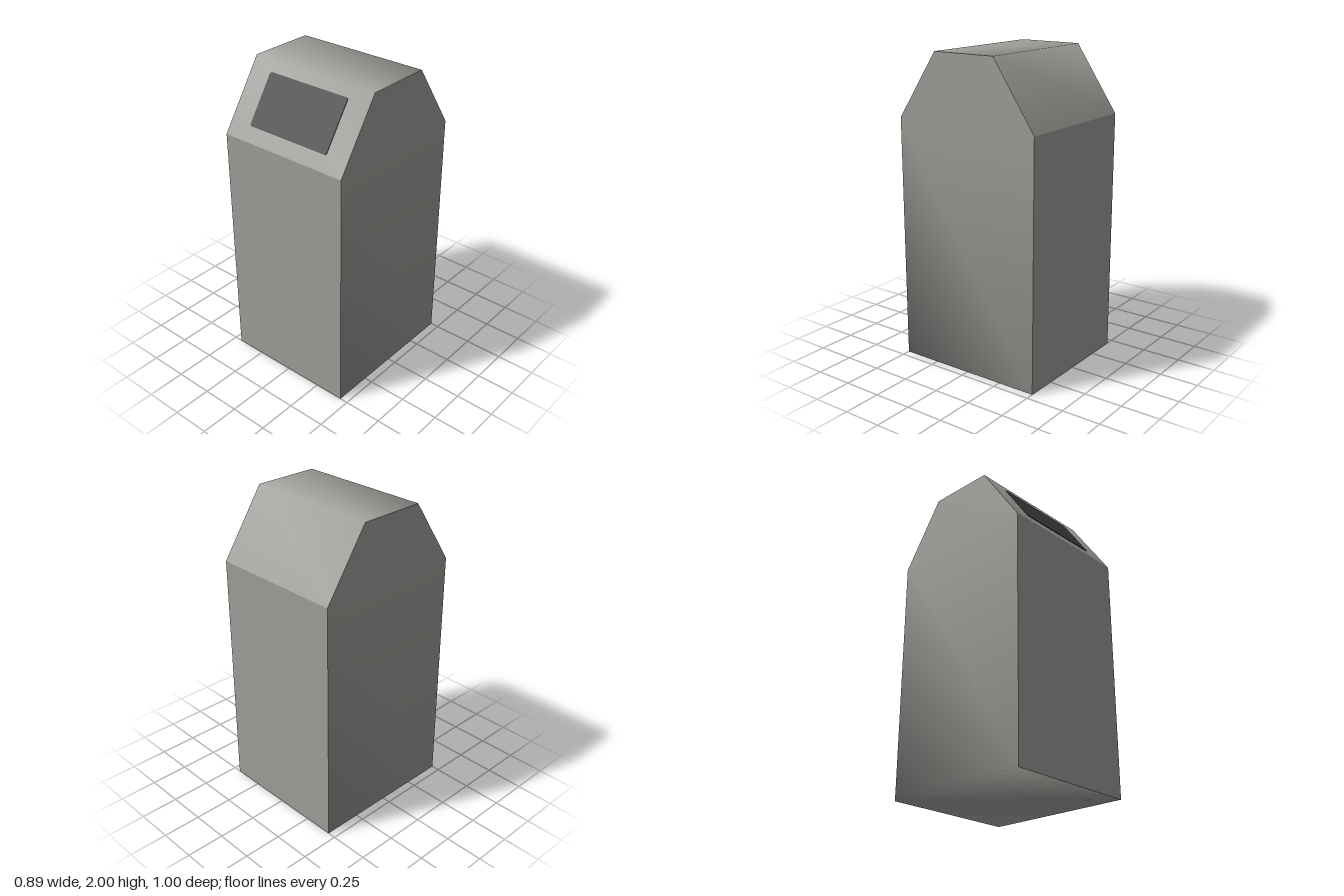
import * as THREE from 'three';
import { mergeGeometries } from 'three/addons/utils/BufferGeometryUtils.js';

const HALF_WIDTH = 0.447, HALF_DEPTH = 0.5, EAVE = 1.58, TOP = 2, HALF_RIDGE = 0.215;

// Softly shaded wall following an open counter-clockwise profile, with flat end caps.
// The profile lies in x, y and must be symmetric about x = 0.
function softPrism(profile, halfLength) {
  const positions = [], indices = [];
  profile.forEach(([x, y], i) => {
    positions.push(x, y, -halfLength, x, y, halfLength);
    if (i === 0) return;
    const a = 2 * i - 2, b = 2 * i;
    indices.push(a, b, b + 1, a, b + 1, a + 1);
  });
  const wall = new THREE.BufferGeometry();
  wall.setAttribute('position', new THREE.Float32BufferAttribute(positions, 3));
  wall.setIndex(indices);
  wall.computeVertexNormals();

  const shape = new THREE.Shape(profile.map(([x, y]) => new THREE.Vector2(x, y)));
  const caps = [0, Math.PI].map((turn) => {
    const cap = new THREE.ShapeGeometry(shape);
    cap.deleteAttribute('uv');
    return cap.translate(0, 0, halfLength).rotateY(turn);
  });
  return mergeGeometries([wall, ...caps]);
}

// Rectangle with slightly clipped corners
function clippedRectangle(w, h, c) {
  return new THREE.Shape([
    [w - c, -h], [w, c - h], [w, h - c], [w - c, h],
    [c - w, h], [-w, h - c], [-w, c - h], [c - w, -h],
  ].map(([x, y]) => new THREE.Vector2(x, y)));
}

export function createModel() {
  const model = new THREE.Group();
  model.name = 'litterBin';

  const casing = new THREE.MeshStandardMaterial({ color: 0xa09e9a });
  casing.name = 'warm grey casing';
  const dark = new THREE.MeshStandardMaterial({ color: 0x404040 });
  dark.name = 'dark grey opening';

  const add = (name, geometry, material) => {
    const mesh = new THREE.Mesh(geometry, material);
    mesh.name = name;
    model.add(mesh);
    return mesh;
  };

  // Upright body: sides and base, with flat front and back
  add('body', softPrism([
    [-HALF_WIDTH, EAVE], [-HALF_WIDTH, 0], [HALF_WIDTH, 0], [HALF_WIDTH, EAVE],
  ], HALF_DEPTH), casing);

  // Hood: sloped front and back around a narrow flat top
  add('hood', softPrism([
    [HALF_DEPTH, EAVE], [HALF_RIDGE, TOP], [-HALF_RIDGE, TOP], [-HALF_DEPTH, EAVE],
  ], HALF_WIDTH).rotateY(Math.PI / 2), casing);

  // Dark opening lying on the front slope
  const run = HALF_DEPTH - HALF_RIDGE, rise = TOP - EAVE;
  const slope = Math.atan2(run, rise);
  const openingY = 1.8;
  const opening = add('opening', new THREE.ExtrudeGeometry(
    clippedRectangle(0.295, 0.14 / Math.cos(slope), 0.01),
    { depth: 0.004, bevelEnabled: false },
  ), dark);
  opening.position.set(0, openingY, HALF_DEPTH - (openingY - EAVE) * run / rise);
  opening.rotation.x = -slope;

  return model;
}
